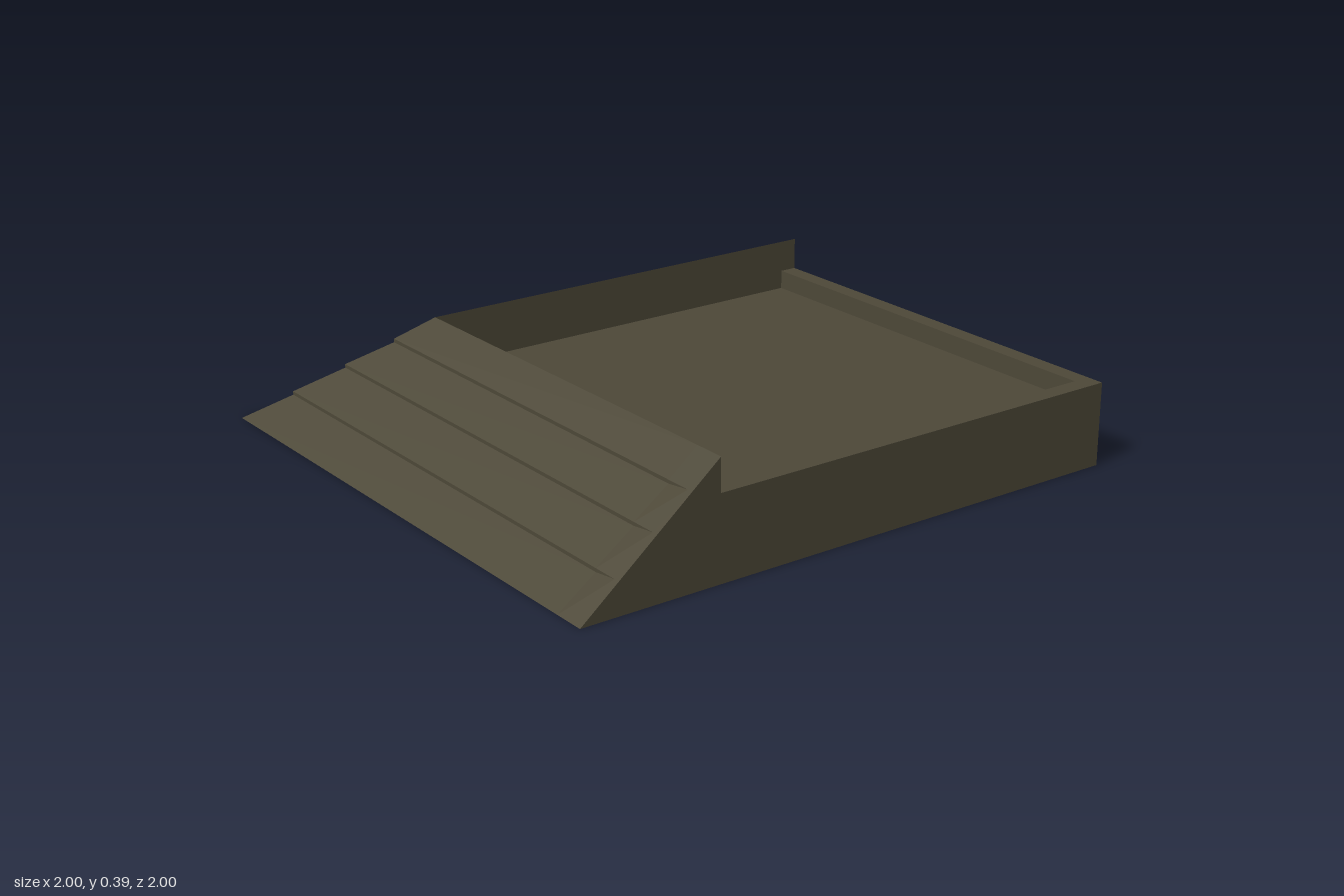
import * as THREE from 'three';

// key dimensions
const RIDGE = 0.52, TOP = 0.39, RIM = 0.28, FLOOR = 0.215, INNER = 0.94, STEP = 0.012;

// flat-faced geometry from convex fans; mirrored copies swap across the corner diagonal
function fanGeometry(polygons, mirrored) {
  const points = [];
  const put = ([x, y, z]) => points.push(mirrored ? new THREE.Vector3(-z, y, -x) : new THREE.Vector3(x, y, z));
  for (const p of polygons) {
    for (let i = 1; i < p.length - 1; i++) {
      const tri = mirrored ? [p[0], p[i + 1], p[i]] : [p[0], p[i], p[i + 1]];
      const [a, b, c] = tri.map((v) => new THREE.Vector3(...v));
      if (b.sub(a).cross(c.sub(a)).length() > 1e-7) tri.forEach(put);
    }
  }
  const geometry = new THREE.BufferGeometry().setFromPoints(points);
  geometry.computeVertexNormals();
  return geometry;
}

// stepped slope: three overlapping boards whose lips fade out near the open end
function slopePolygons() {
  const rows = [{ z: 1, drop: 0 }];
  for (const z of [0.87, 0.74, 0.62]) rows.push({ z, drop: STEP }, { z, drop: 0 });
  rows.push({ z: RIDGE, drop: 0 });
  const columns = [[null, 1], [0.89, 1], [0.98, 0], [1, 0]];
  const point = (row, [x, fade]) => [
    x === null ? -row.z : x,
    (TOP * (1 - row.z)) / (1 - RIDGE) - row.drop * fade,
    row.z,
  ];
  const polygons = [];
  for (let r = 0; r < rows.length - 1; r++) {
    for (let c = 0; c < columns.length - 1; c++) {
      polygons.push([
        point(rows[r], columns[c]), point(rows[r], columns[c + 1]),
        point(rows[r + 1], columns[c + 1]), point(rows[r + 1], columns[c]),
      ]);
    }
  }
  return polygons;
}

export function createModel() {
  const model = new THREE.Group();
  model.name = 'cornerRamp';
  const olive = new THREE.MeshStandardMaterial({ color: 0x4d4838, side: THREE.DoubleSide });
  olive.name = 'dark olive';

  const add = (name, polygons, mirrored = false) => {
    const mesh = new THREE.Mesh(fanGeometry(polygons, mirrored), olive);
    mesh.name = name;
    model.add(mesh);
  };

  // parts that occur once on each side of the diagonal
  const parts = {
    Slope: slopePolygons(),
    OuterWall: [[[1, RIM, RIDGE], [1, TOP, RIDGE], [1, 0, 1], [1, 0, -1], [1, RIM, -1]]],
    RidgeWall: [[[1, FLOOR, RIDGE], [-RIDGE, FLOOR, RIDGE], [-RIDGE, TOP, RIDGE], [1, TOP, RIDGE]]],
    Rim: [
      [[INNER, RIM, RIDGE], [1, RIM, RIDGE], [1, RIM, -1], [INNER, RIM, -INNER]],
      [[INNER, FLOOR, -INNER], [INNER, FLOOR, RIDGE], [INNER, RIM, RIDGE], [INNER, RIM, -INNER]],
    ],
  };
  const names = {
    Slope: ['frontSlope', 'rightSlope'],
    OuterWall: ['leftOuterWall', 'backOuterWall'],
    RidgeWall: ['frontRidgeWall', 'rightRidgeWall'],
    Rim: ['leftRim', 'backRim'],
  };
  for (const key of Object.keys(parts)) {
    names[key].forEach((name, i) => add(name, parts[key], i === 1));
  }

  // sunken floor, open underneath
  add('recessFloor', [[[-RIDGE, FLOOR, RIDGE], [1, FLOOR, RIDGE], [1, FLOOR, -1], [-RIDGE, FLOOR, -1]]]);
  return model;
}
